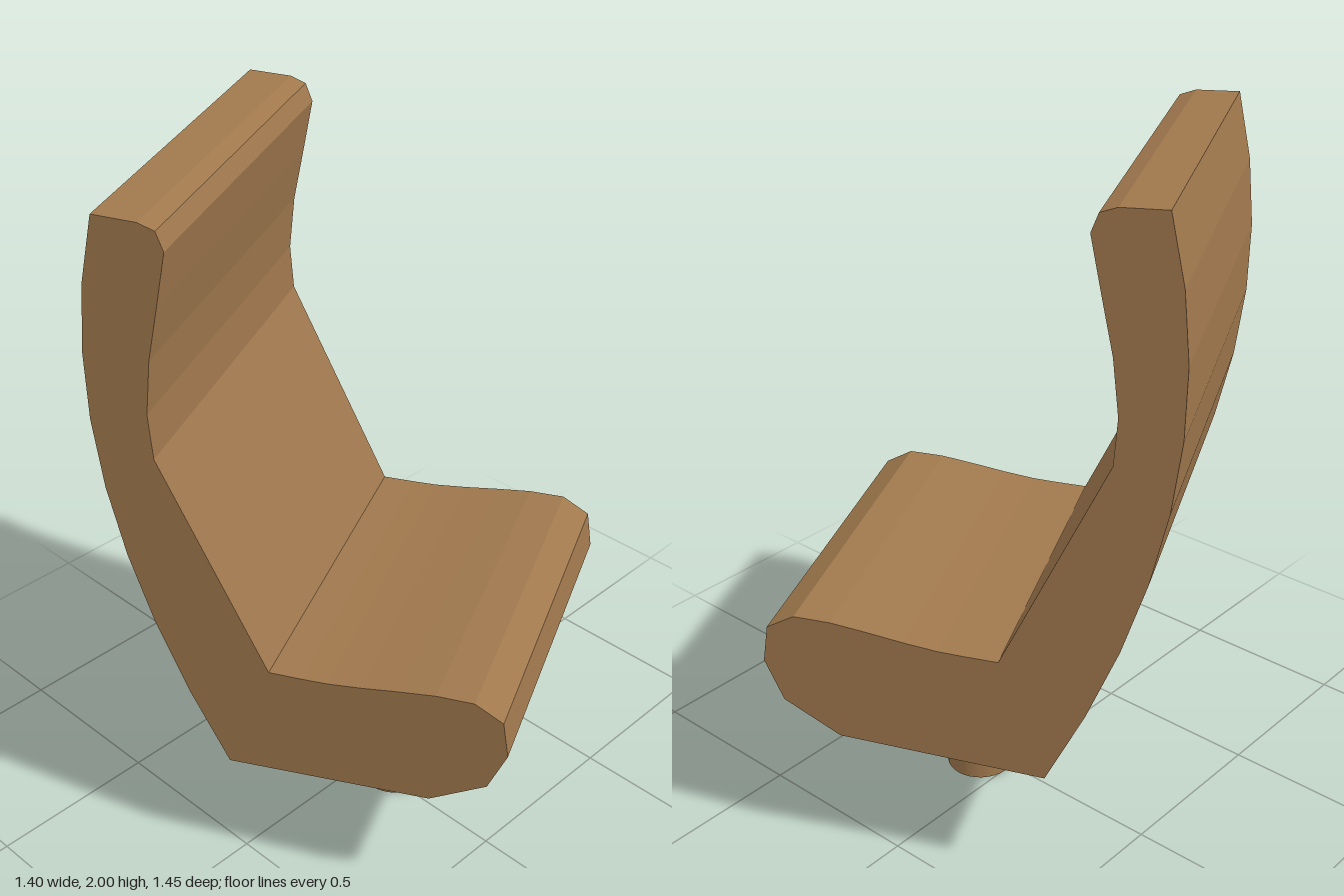
import * as THREE from 'three';

const WIDTH = 1.008;
const TURN = 0.447; // the seat is swivelled on its post

export function createModel() {
  const wood = new THREE.MeshStandardMaterial({ color: 0xa0784d });
  wood.name = 'warm wood brown';
  const model = new THREE.Group();
  model.name = 'swivelChair';

  // Side profile: x is forward, y is up
  const profile = new THREE.Shape();
  profile.moveTo(-0.23, 0.375);
  // underside and rounded front edge of the seat
  [[0.352, 0.405], [0.511, 0.497], [0.563, 0.617], [0.547, 0.727], [0.468, 0.773],
    // seat top
    [0.364, 0.771], [0.262, 0.758], [0.16, 0.743], [0.065, 0.732], [-0.008, 0.729], [-0.102, 0.727],
    // front of the backrest
    [-0.391, 1.345], [-0.4, 1.475], [-0.383, 1.63], [-0.352, 1.78], [-0.322, 1.93],
    // top lip
    [-0.341, 1.98], [-0.385, 1.996], [-0.505, 2]].forEach(([x, y]) => profile.lineTo(x, y));
  // curved back
  profile.quadraticCurveTo(-0.704, 1.277, -0.23, 0.375);

  const bodyGeometry = new THREE.ExtrudeGeometry(profile, {
    depth: WIDTH, bevelEnabled: false, curveSegments: 8,
  });
  bodyGeometry.translate(0, 0, -WIDTH / 2);
  bodyGeometry.rotateY(-Math.PI / 2); // forward becomes +z
  const body = new THREE.Mesh(bodyGeometry, wood);
  body.name = 'seatAndBackrest';
  body.rotation.y = TURN;
  model.add(body);

  // Round post, let into the underside of the seat
  const post = new THREE.Mesh(new THREE.CylinderGeometry(0.1, 0.1, 0.45, 32), wood);
  post.name = 'post';
  post.position.set(0.033, 0.225, 0.097);
  model.add(post);

  return model;
}
